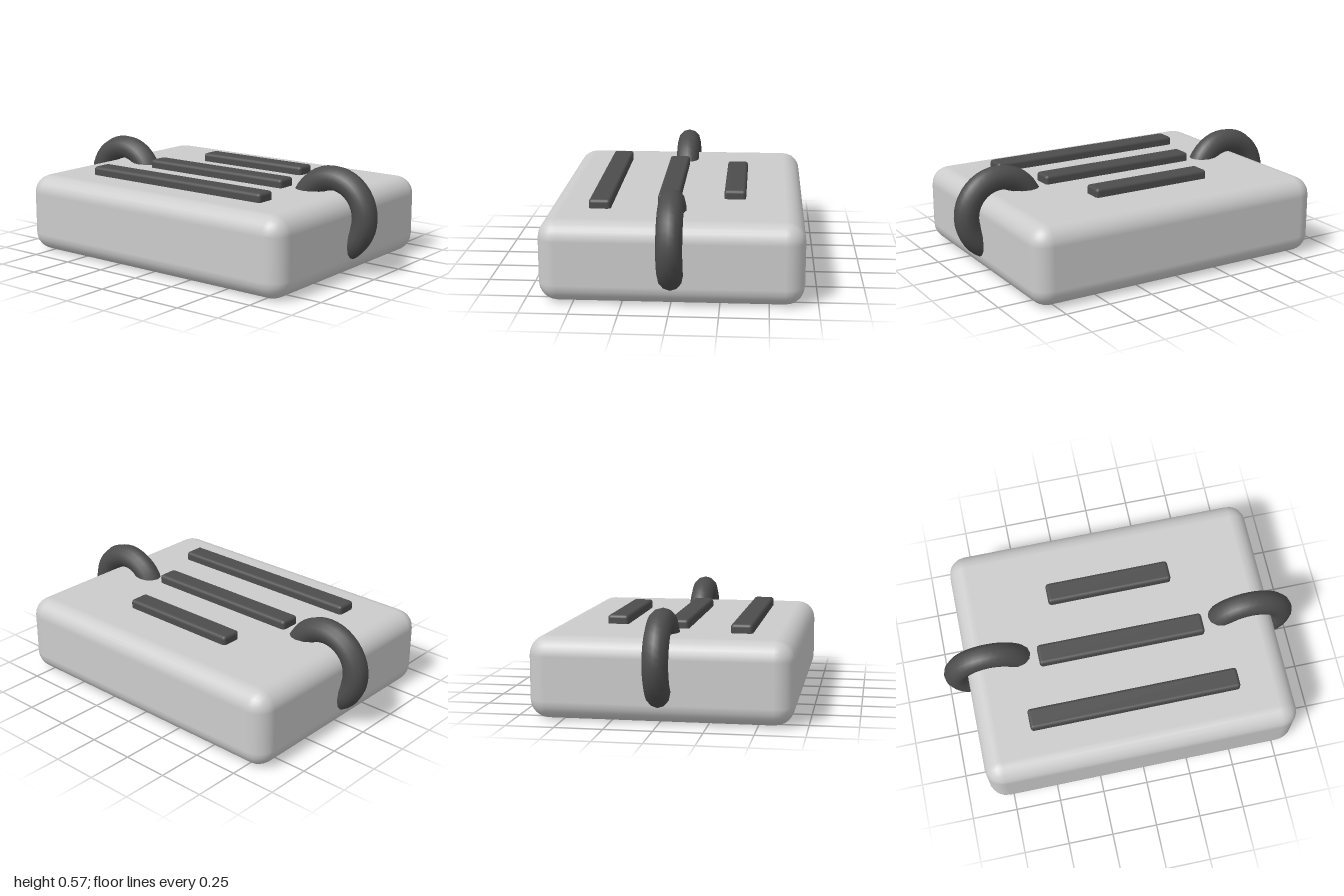
import * as THREE from 'three';
import { RoundedBoxGeometry } from 'three/addons/geometries/RoundedBoxGeometry.js';

export function createModel() {
  const model = new THREE.Group();
  const grey = new THREE.MeshStandardMaterial({ color: 0xcccccc });
  const dark = new THREE.MeshStandardMaterial({ color: 0x4d4d4d });

  function add(name, geometry, material, x, y, z) {
    const mesh = new THREE.Mesh(geometry, material);
    mesh.name = name;
    mesh.position.set(x, y, z);
    model.add(mesh);
    return mesh;
  }

  // Rounded slab
  add('body', new RoundedBoxGeometry(1.74, 0.43, 1.36, 3, 0.1), grey, 0, 0.215, 0);

  // Raised bars on top, shorter towards the back
  const bars = [['backBar', 0.70, -0.312], ['middleBar', 0.93, 0.036], ['frontBar', 1.164, 0.387]];
  for (const [name, width, z] of bars) {
    add(name, new RoundedBoxGeometry(width, 0.07, 0.116, 2, 0.018), dark, 0, 0.443, z);
  }

  // Rings through the top side edges
  for (const side of [1, -1]) {
    const ring = add(side > 0 ? 'leftRing' : 'rightRing',
      new THREE.TorusGeometry(0.194, 0.067, 12, 40), dark, side * 0.739, 0.314, 0);
    if (side < 0) ring.rotation.y = Math.PI;
  }

  return model;
}
